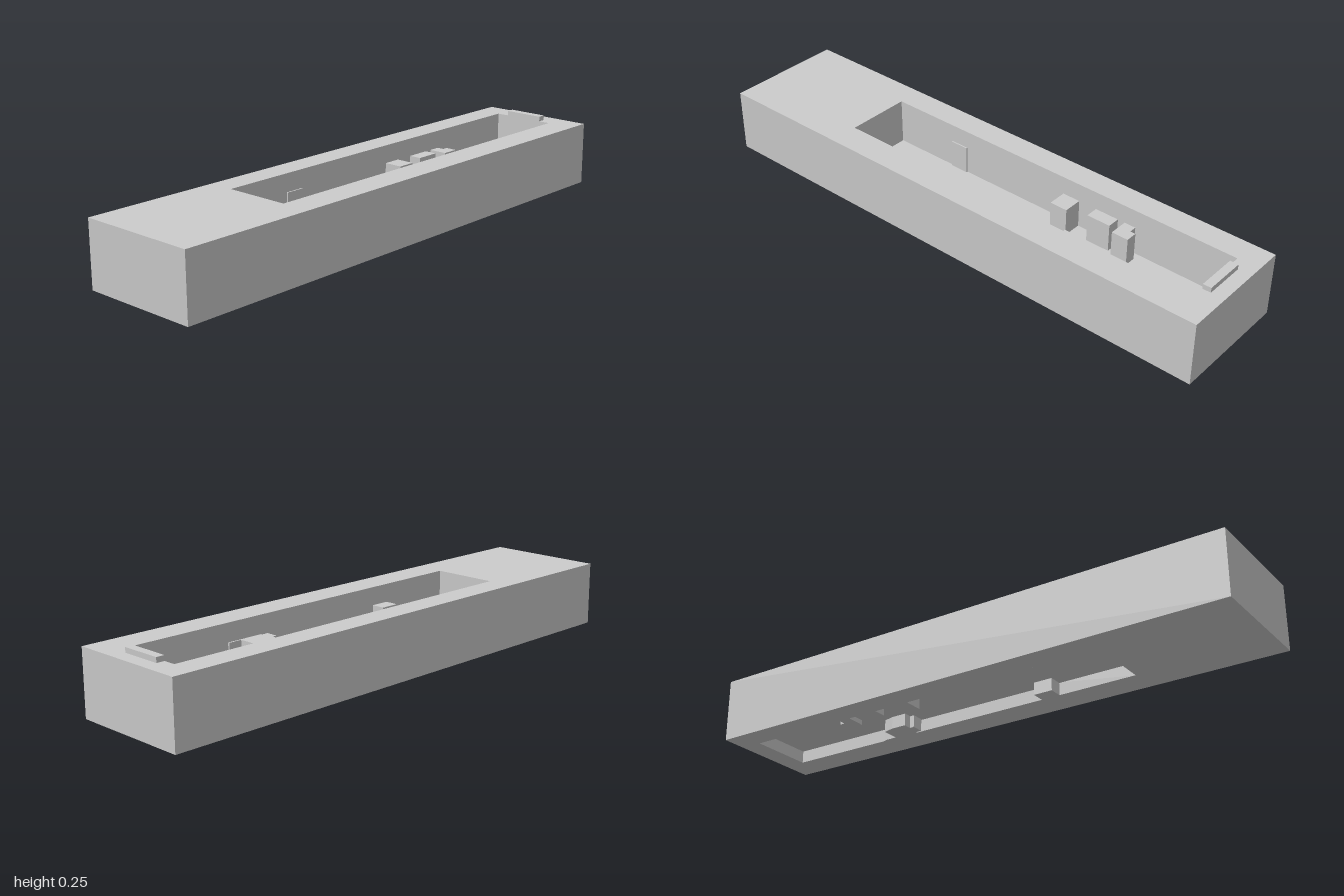
import * as THREE from 'three';

const material = new THREE.MeshStandardMaterial({ color: 0xcccccc, flatShading: true });

// Plan outlines are [x, z] points; the shape's y is -z so it can be laid flat.
const toPoints = (plan) => plan.map(([x, z]) => new THREE.Vector2(x, -z));
const rect = (x0, x1, z0, z1) => [[x0, z0], [x0, z1], [x1, z1], [x1, z0]];

// Vertical prism over a plan outline, from y0 to y1
function prism(name, plan, y0, y1, hole) {
  const shape = new THREE.Shape(toPoints(plan));
  if (hole) shape.holes.push(new THREE.Path(toPoints(hole)));
  const geometry = new THREE.ExtrudeGeometry(shape, { depth: y1 - y0, bevelEnabled: false });
  geometry.rotateX(-Math.PI / 2).translate(0, y0, 0);
  const mesh = new THREE.Mesh(geometry, material);
  mesh.name = name;
  return mesh;
}

export function createModel() {
  const model = new THREE.Group();
  model.name = 'pocketedBlock';

  const top = 0.232, bossTop = 0.166;
  const x0 = -0.127, x1 = 0.112; // pocket sides

  // Long block with a rectangular pocket
  const pocket = rect(x0, x1, -0.92, 0.51);
  model.add(prism('body', rect(-0.22, 0.22, -1, 1), 0, top, pocket));

  // Thin web that separates the pocket from the shallow recess underneath
  model.add(prism('pocketFloor', pocket, 0.045, 0.064));

  // Raised tab behind the pocket
  model.add(prism('tab', rect(-0.082, 0.068, -0.95, -0.92), top, 0.25));

  // Bosses along the pocket walls, reaching down to the underside
  const bosses = {
    steppedBoss: [[x0, -0.54], [x0, -0.497], [-0.057, -0.497], [-0.057, -0.56], [-0.1, -0.56], [-0.1, -0.54]],
    middleBoss: rect(x0, -0.08, -0.47, -0.38),
    frontBoss: rect(x0, -0.057, -0.31, -0.243),
    wallPad: rect(x0, -0.122, 0.19, 0.26),
    smallBoss: rect(0.062, x1, 0.15, 0.22),
    largeBoss: [[x1, -0.52], [0.106, -0.52], [0.106, -0.47], [0.042, -0.47], [0.032, -0.43], [0.032, -0.373],
      [0.062, -0.373], [0.062, -0.356], [0.106, -0.356], [0.106, -0.38], [x1, -0.38]],
  };
  for (const [name, plan] of Object.entries(bosses)) model.add(prism(name, plan, 0, bossTop));

  return model;
}
